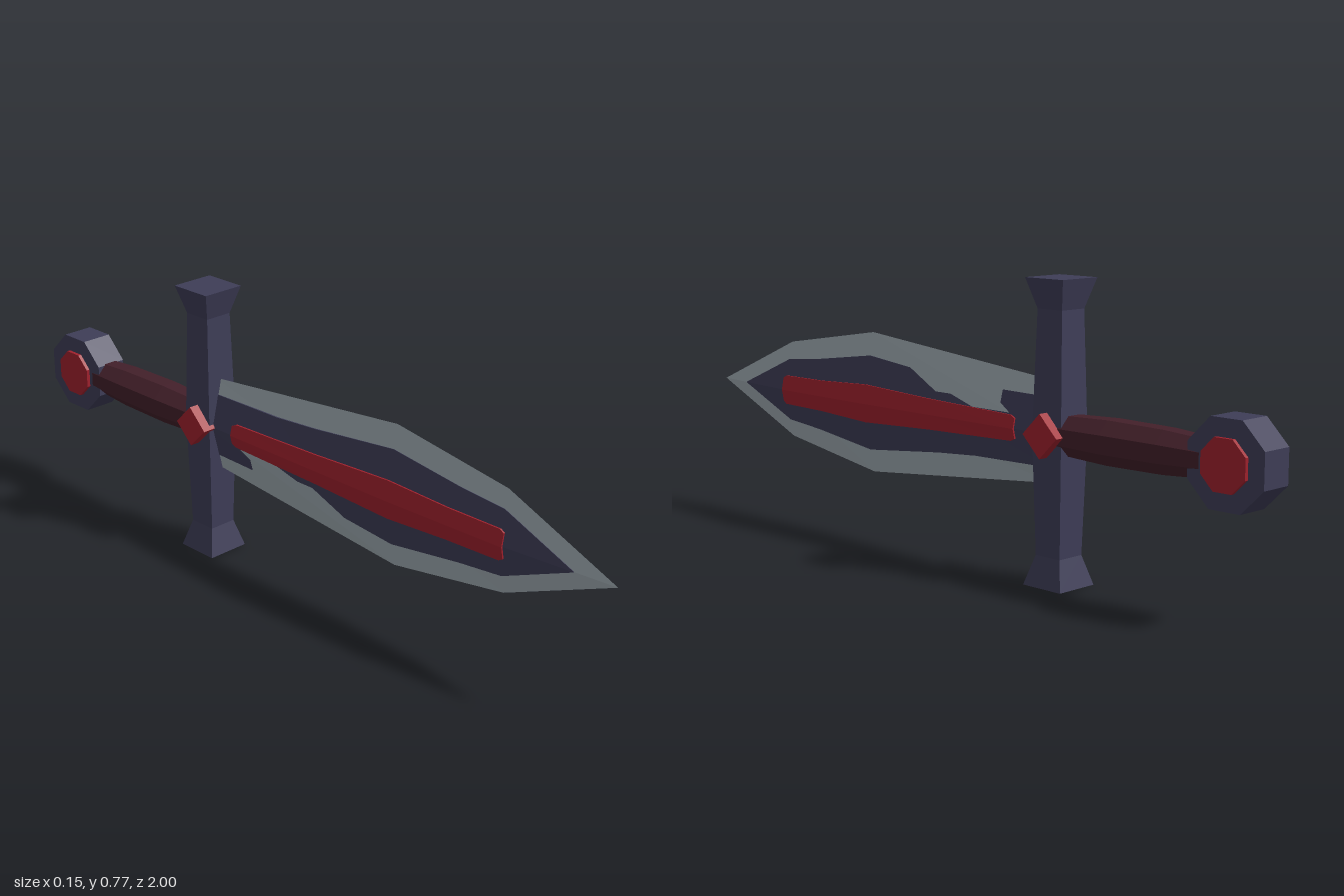
import * as THREE from 'three';

const MID = 0.383; // height of the sword's long axis

function material(name, color) {
  const m = new THREE.MeshStandardMaterial({ color, flatShading: true });
  m.name = name;
  return m;
}

// Solid through rings of [x, y] points (counter-clockwise seen from +z), each at its own z
function loft(rings) {
  const pos = [];
  const n = rings[0].pts.length;
  const put = (r, j) => pos.push(r.pts[j % n][0], r.pts[j % n][1], r.z);
  for (let i = 0; i < rings.length - 1; i++) {
    const a = rings[i], b = rings[i + 1];
    for (let j = 0; j < n; j++) {
      put(a, j); put(a, j + 1); put(b, j + 1);
      put(a, j); put(b, j + 1); put(b, j);
    }
  }
  const first = rings[0], last = rings[rings.length - 1];
  for (let j = 1; j < n - 1; j++) {
    put(first, 0); put(first, j + 1); put(first, j);
    put(last, 0); put(last, j); put(last, j + 1);
  }
  const g = new THREE.BufferGeometry();
  g.setAttribute('position', new THREE.Float32BufferAttribute(pos, 3));
  g.computeVertexNormals();
  return g;
}

// Value at z on a piecewise linear profile of [z, value]
function at(profile, z) {
  for (let i = 0; i < profile.length - 1; i++) {
    const [z0, v0] = profile[i], [z1, v1] = profile[i + 1];
    if (z <= z1) return v0 + (v1 - v0) * (z - z0) / (z1 - z0);
  }
  return profile[profile.length - 1][1];
}

const polygon = (sides, apothem) => Array.from({ length: sides }, (_, i) => {
  const a = (i + 0.5) / sides * Math.PI * 2, r = apothem / Math.cos(Math.PI / sides);
  return [Math.cos(a) * r, Math.sin(a) * r];
});

// Prism lying along x
function crossPrism(sides, radius, length, turn) {
  return new THREE.CylinderGeometry(radius, radius, length, sides).rotateY(turn).rotateZ(Math.PI / 2);
}

export function createModel() {
  const model = new THREE.Group();
  model.name = 'shortSword';
  const steel = material('edge steel', 0xa0acb3);
  const iron = material('dark iron', 0x3e3d57);
  const red = material('red', 0xa0212d);
  const leather = material('grip leather', 0x43202a);

  const add = (name, geometry, mat, z = 0) => {
    const mesh = new THREE.Mesh(geometry, mat);
    mesh.name = name;
    mesh.position.set(0, MID, z);
    model.add(mesh);
    return mesh;
  };

  // Blade: rhombic section, half height and half thickness along z
  const edge = [[-0.34, 0.128], [0.33, 0.193], [0.68, 0.137], [1, 0]];
  const ridge = [[-0.34, 0.034], [0.33, 0.036], [0.68, 0.028], [1, 0]];
  add('bladeEdge', loft(edge.map(([z, e]) => {
    const t = at(ridge, z);
    return { z, pts: [[t, 0], [0, e], [-t, 0], [0, -e]] };
  })), steel);

  // Layers that follow the blade faces, raised by a small offset
  const layer = (profile, lift) => loft(profile.map(([z, h]) => {
    const t = at(ridge, z), x = t * (1 - h / at(edge, z)) + lift, r = t + lift;
    return { z, pts: [[r, 0], [x, h], [-x, h], [-r, 0], [-x, -h], [x, -h]] };
  }));
  add('bladeCore', layer([[-0.34, 0.088], [-0.08, 0.092], [0.06, 0.102], [0.33, 0.13],
    [0.55, 0.1], [0.68, 0.088], [0.885, 0.001]], 0.0015), iron);
  add('bladeFuller', layer([[-0.235, 0.026], [-0.22, 0.033], [0.08, 0.041], [0.33, 0.052],
    [0.52, 0.043], [0.68, 0.041], [0.692, 0.034]], 0.006), red);

  // Crossguard: square bar with flared ends
  const guardProfile = [[-MID, 0.062], [-0.307, 0.04], [0, 0.048], [0.307, 0.04], [MID, 0.062]];
  add('crossguard', loft(guardProfile.map(([z, h]) => ({ z, pts: polygon(4, h) })))
    .rotateX(-Math.PI / 2), iron, -0.357);
  add('guardGem', crossPrism(4, 0.056, 0.148, 0), red, -0.357);

  // Grip: octagonal, swelling in the middle
  const gripProfile = [[-0.82, 0.045], [-0.7, 0.053], [-0.53, 0.055], [-0.38, 0.049]];
  add('grip', loft(gripProfile.map(([z, h]) => ({ z, pts: polygon(8, h) }))), leather);

  // Pommel with a red inset on each side
  const c = Math.cos(Math.PI / 8);
  add('pommel', crossPrism(8, 0.106 / c, 0.09, Math.PI / 8), iron, -0.894);
  add('pommelGem', crossPrism(8, 0.062 / c, 0.11, Math.PI / 8), red, -0.894);

  return model;
}
